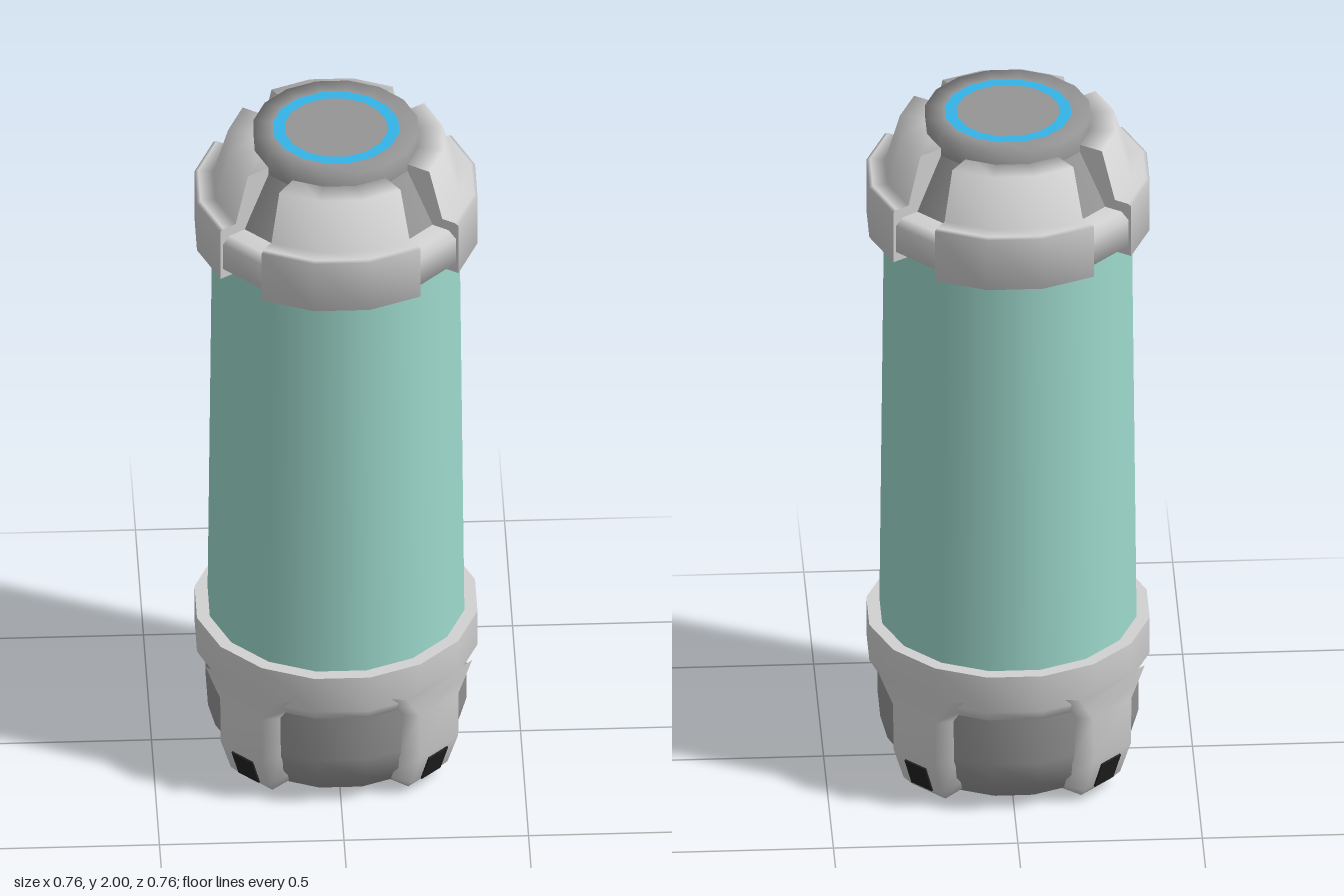
import * as THREE from 'three';
import { mergeGeometries } from 'three/addons/utils/BufferGeometryUtils.js';

const SIDES = 16;
const STEP = (Math.PI * 2) / SIDES;
const TO_CORNER = 1 / Math.cos(STEP / 2); // flat-to-flat radius -> corner radius

const mat = (name, color) => {
  const m = new THREE.MeshStandardMaterial({ color });
  m.name = name;
  return m;
};

const toPoints = (profile) => profile.map(([r, y]) => new THREE.Vector2(r * TO_CORNER, y));

// Full sixteen-sided turned part; profile runs bottom to top as [flat radius, y]
const turned = (profile) => new THREE.LatheGeometry(toPoints(profile), SIDES, STEP / 2);

// Part of a ring with a closed counter-clockwise profile and capped ends
function sector(profile, start, segments) {
  const points = toPoints(profile);
  const end = start + segments * STEP;
  const wall = new THREE.LatheGeometry([...points, points[0]], segments, start, segments * STEP);
  const startCap = new THREE.ShapeGeometry(new THREE.Shape(points));
  const endCap = startCap.clone();
  endCap.index.array.reverse();
  const n = endCap.attributes.normal;
  for (let i = 0; i < n.count; i++) n.setZ(i, -n.getZ(i));
  startCap.rotateY(start - Math.PI / 2);
  endCap.rotateY(end - Math.PI / 2);
  return mergeGeometries([wall, startCap, endCap]);
}

// Raised rib facing +z, lofted from stations [r, y, halfWidth, innerR, innerY]
function ribGeometry(stations) {
  const position = [];
  const index = [];
  for (const [r, y, w, ri, yi] of stations) {
    position.push(-w - 0.03, yi, ri, -w, y, r, w, y, r, w + 0.03, yi, ri);
  }
  for (let s = 0; s < stations.length - 1; s++) {
    for (let k = 0; k < 3; k++) {
      const a = s * 4 + k;
      const b = a + 4; // next station lies lower
      index.push(a, b, a + 1, b, b + 1, a + 1);
    }
  }
  const g = new THREE.BufferGeometry();
  g.setAttribute('position', new THREE.Float32BufferAttribute(position, 3));
  g.setIndex(index);
  g.computeVertexNormals();
  return g;
}

export function createModel() {
  const model = new THREE.Group();
  model.name = 'canister';
  const shell = mat('light grey shell', 0xd2d2d2);
  const dark = mat('mid grey', 0x959595);
  const glass = mat('pale teal', 0x9edacd);
  const blue = mat('bright blue', 0x35b6ea);
  const black = mat('black', 0x222222);

  const add = (name, geometry, material, parent = model) => {
    const mesh = new THREE.Mesh(geometry, material);
    mesh.name = name;
    parent.add(mesh);
    return mesh;
  };

  // Rounded foot and collar
  add('foot', turned([[0, 0], [0.24, 0], [0.29, 0.03], [0.33, 0.09], [0.35, 0.16], [0.35, 0.34]]), dark);
  add('baseCollar', turned([[0.34, 0.3], [0.36, 0.305], [0.38, 0.34], [0.38, 0.45]]), shell);
  add('baseCollarTop', turned([[0.38, 0.45], [0.33, 0.45]]), shell);

  // Four ribs on the diagonals, each with a small black pad
  const rib = ribGeometry([
    [0.381, 0.36, 0.13, 0.34, 0.36],
    [0.38, 0.32, 0.105, 0.34, 0.32],
    [0.38, 0.28, 0.077, 0.34, 0.28],
    [0.38, 0.14, 0.075, 0.335, 0.15],
    [0.345, 0.04, 0.07, 0.3, 0.07],
    [0.32, 0.012, 0.06, 0.28, 0.04],
    [0.25, 0.008, 0.05, 0.24, 0.02],
  ]);
  const pad = new THREE.BoxGeometry(0.075, 0.085, 0.008);
  for (let i = 0; i < 4; i++) {
    const group = new THREE.Group();
    group.name = 'footRib';
    group.rotation.y = Math.PI / 4 + (i * Math.PI) / 2;
    add('rib', rib, shell, group);
    const p = add('ribPad', pad, black, group);
    p.position.set(0, 0.08, 0.36);
    p.rotation.x = Math.atan2(0.035, 0.1);
    model.add(group);
  }

  // Slightly tapered body
  add('body', turned([[0.345, 0.44], [0.332, 1.7]]), glass);

  // Head core and the band seen between the petals
  add('headCore', turned([[0.31, 1.77], [0.285, 1.82], [0.205, 1.97]]), dark);
  add('headBand', turned([[0.32, 1.69], [0.372, 1.69], [0.372, 1.77], [0.35, 1.79], [0.28, 1.79]]), shell);

  // Four petals
  const petalProfile = [
    [0.325, 1.66], [0.38, 1.66], [0.38, 1.815], [0.37, 1.82], [0.33, 1.82],
    [0.29, 1.96], [0.2, 1.96], [0.26, 1.8], [0.325, 1.75],
  ];
  const petal = sector(petalProfile, -1.5 * STEP, 3);
  for (let i = 0; i < 4; i++) {
    add('headPetal', petal, shell).rotation.y = (i * Math.PI) / 2;
  }

  // Top cap with inlaid blue ring
  add('capRim', turned([[0.222, 1.93], [0.222, 2], [0.17, 2]]), dark);
  add('capRing', turned([[0.17, 2], [0.138, 2]]), blue);
  add('capCentre', turned([[0.138, 2], [0, 2]]), dark);

  return model;
}
